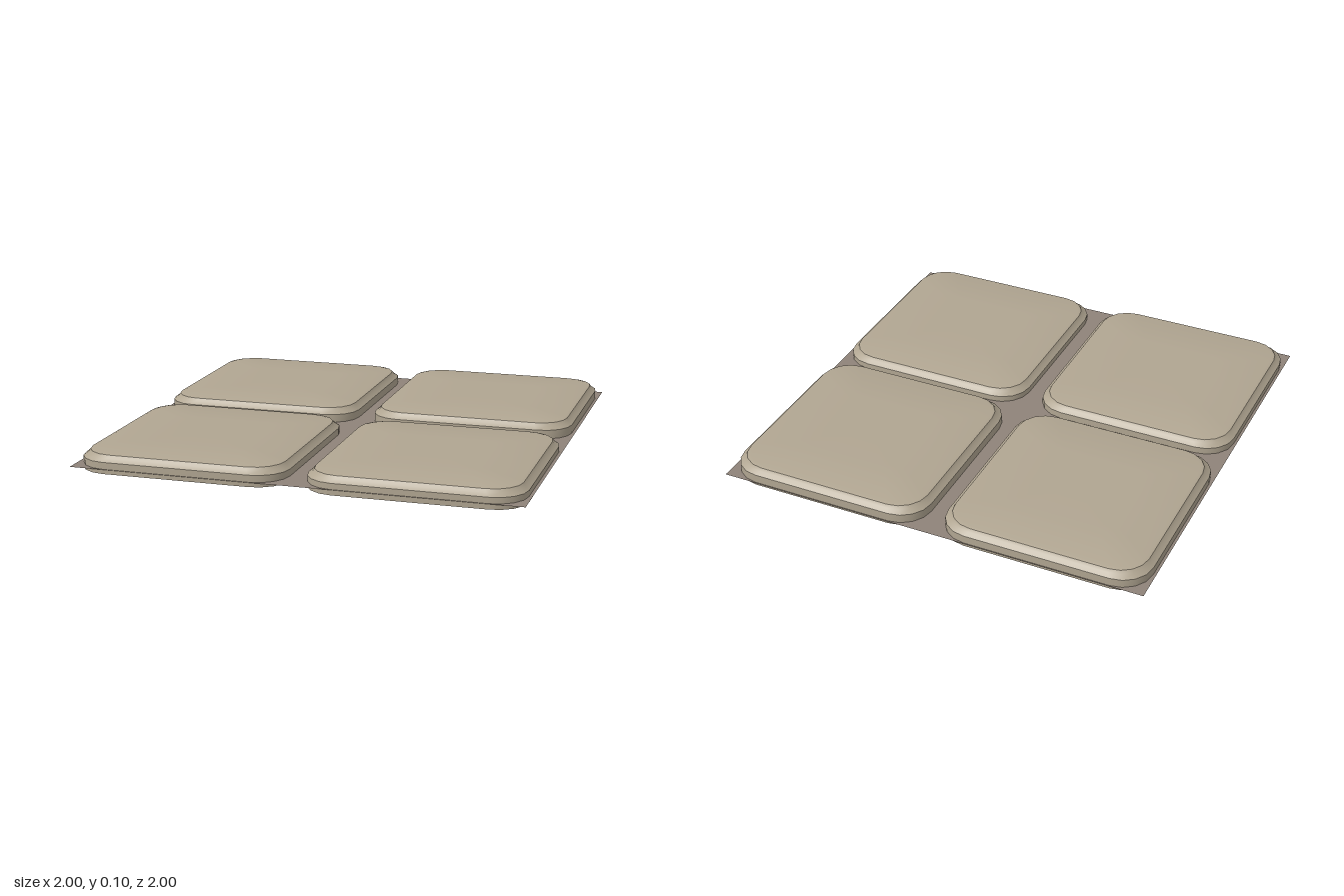
import * as THREE from 'three';
import { toCreasedNormals } from 'three/addons/utils/BufferGeometryUtils.js';

const CORNER_STEPS = 4;

// Rounded rectangle outline, counter-clockwise seen from above
function ring(halfW, halfD, radius, y) {
  const points = [];
  const corners = [[1, -1], [-1, -1], [-1, 1], [1, 1]];
  corners.forEach(([sx, sz], k) => {
    for (let i = 0; i <= CORNER_STEPS; i++) {
      const t = (k + i / CORNER_STEPS) * Math.PI / 2;
      points.push([
        sx * (halfW - radius) + radius * Math.cos(t), y,
        sz * (halfD - radius) - radius * Math.sin(t),
      ]);
    }
  });
  return points;
}

// Paving slab: stacked outlines with a worn, stepped edge and a faint dome
function slabGeometry(width, depth) {
  const profile = [ // inset, height
    [0, 0], [0, 0.052], [0.018, 0.066], [0.026, 0.079], [0.04, 0.083], [0.26, 0.088],
  ];
  const rings = profile.map(([inset, y]) =>
    ring(width / 2 - inset, depth / 2 - inset, 0.14 - inset * 0.35, y));
  const n = rings[0].length;
  const positions = rings.flat(2);
  const indices = [];
  for (let i = 0; i < rings.length - 1; i++) {
    for (let j = 0; j < n; j++) {
      const k = (j + 1) % n;
      const a = i * n + j, b = i * n + k, c = (i + 1) * n + k, d = (i + 1) * n + j;
      indices.push(a, b, c, a, c, d);
    }
  }
  // Close the underside and the crown
  const bottom = rings.length * n, top = bottom + 1, last = (rings.length - 1) * n;
  positions.push(0, 0, 0, 0, 0.089, 0);
  for (let j = 0; j < n; j++) {
    const k = (j + 1) % n;
    indices.push(bottom, k, j, top, last + j, last + k);
  }
  const geometry = new THREE.BufferGeometry();
  geometry.setAttribute('position', new THREE.Float32BufferAttribute(positions, 3));
  geometry.setIndex(indices);
  return toCreasedNormals(geometry, 0.5);
}

export function createModel() {
  const group = new THREE.Group();
  group.name = 'pavingTiles';
  const stone = new THREE.MeshStandardMaterial({ color: 0xb0a591 });
  const grout = new THREE.MeshStandardMaterial({ color: 0x8f8379, side: THREE.DoubleSide });

  // Thin mortar bed, which the slabs sink through
  const bed = new THREE.Mesh(new THREE.PlaneGeometry(2, 2).rotateX(-Math.PI / 2), grout);
  bed.name = 'mortarBed';
  bed.position.y = 0.027;
  group.add(bed);

  // Four slabs set at slightly uneven heights
  const slabs = [
    ['backLeftSlab', 0.513, -0.513, 0.015],
    ['backRightSlab', -0.515, -0.513, 0.012],
    ['frontLeftSlab', 0.513, 0.512, 0.002],
    ['frontRightSlab', -0.515, 0.512, 0.006],
  ];
  const geometry = slabGeometry(0.945, 0.965);
  for (const [name, x, z, y] of slabs) {
    const slab = new THREE.Mesh(geometry, stone);
    slab.name = name;
    slab.position.set(x, y, z);
    group.add(slab);
  }
  return group;
}
